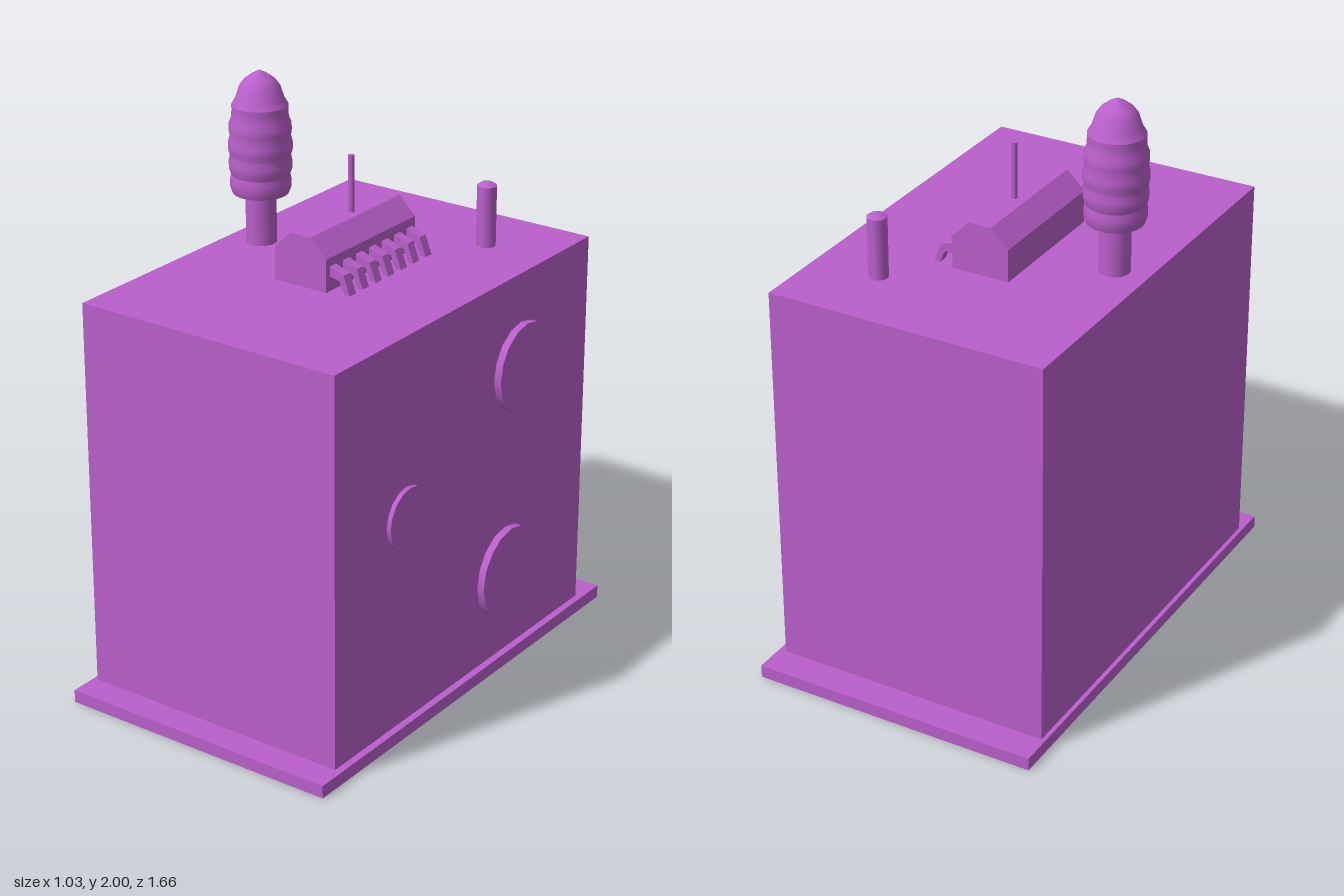
import * as THREE from 'three';
import { toCreasedNormals } from 'three/addons/utils/BufferGeometryUtils.js';

export function createModel() {
  const model = new THREE.Group();
  model.name = 'machineCabinet';
  const material = new THREE.MeshStandardMaterial({ color: 0xb95fca });

  const add = (name, geometry, x = 0, y = 0, z = 0) => {
    const mesh = new THREE.Mesh(geometry, material);
    mesh.name = name;
    mesh.position.set(x, y, z);
    model.add(mesh);
    return mesh;
  };

  // Box given by its minimum and maximum corners
  const box = (name, a, b) => add(name,
    new THREE.BoxGeometry(b[0] - a[0], b[1] - a[1], b[2] - a[2]),
    (a[0] + b[0]) / 2, (a[1] + b[1]) / 2, (a[2] + b[2]) / 2);

  // Upright rod from y0 to y1
  const rod = (name, r, x, y0, y1, z, sides = 24) => add(name,
    new THREE.CylinderGeometry(r, r, y1 - y0, sides), x, (y0 + y1) / 2, z);

  // Profile in x,y extruded along z
  const prism = (points, depth) => new THREE.ExtrudeGeometry(
    new THREE.Shape(points.map(([x, y]) => new THREE.Vector2(x, y))),
    { depth, bevelEnabled: false });

  // Lathed part with crisp rims
  const turned = points => toCreasedNormals(new THREE.LatheGeometry(
    points.map(([r, y]) => new THREE.Vector2(r, y)), 32), 0.5);

  const top = 1.405;

  // Plinth and cabinet
  box('basePlate', [-0.515, 0, -0.83], [0.51, 0.045, 0.83]);
  box('cabinet', [-0.5, 0.045, -0.72], [0.485, top, 0.73]);

  // Round covers on the left side: y, z, radius, thickness
  [[1.077, -0.308, 0.156, 0.026], [0.782, 0.346, 0.108, 0.016], [0.349, -0.24, 0.163, 0.026]]
    .forEach(([y, z, r, t]) => {
      const disc = add('sideCover', new THREE.CylinderGeometry(r, r, t + 0.01, 16),
        0.48 + t / 2, y, z);
      disc.rotation.z = -Math.PI / 2;
    });

  // Beacon: stem and ribbed head with a pointed cap
  rod('beaconStem', 0.052, -0.38, top, 1.585, -0.045);
  const rings = [[1.58, 0.094], [1.645, 0.098], [1.71, 0.101], [1.775, 0.101], [1.84, 0.095], [1.905, 0.081]];
  const head = [[0, 1.58]];
  rings.forEach(([y, r], i) => {
    head.push([r, y]);
    const next = rings[i + 1];
    if (next) {
      const middle = (r + next[1]) / 2 + 0.006;
      head.push([middle, y + 0.022], [middle, next[0] - 0.022]);
    }
  });
  head.push([0.068, 1.945], [0.052, 1.967], [0.025, 1.987], [0, 2]);
  add('beaconHead', turned(head), -0.38, 0, -0.045);

  // Chamfered housing running front to back
  add('roofHousing', prism([
    [-0.13, top], [0.074, top], [0.074, 1.518], [0.013, 1.58], [-0.066, 1.58], [-0.13, 1.518],
  ], 0.497), 0, 0, -0.287);

  // Row of bent outlet pipes along the housing
  for (let i = 0; i < 7; i++) {
    add('outletPipe', prism([
      [0.06, 1.46], [0.113, 1.446], [0.13, top], [0.152, top], [0.127, 1.469], [0.06, 1.494],
    ], 0.034), 0, 0, -0.272 + i * 0.0712);
  }

  // Thin aerial and domed post
  rod('aerial', 0.01, -0.022, 1.57, 1.775, -0.06, 12);
  add('ventPost', turned([[0.033, top], [0.033, 1.615], [0.02, 1.624], [0, 1.628]]), 0.248, 0, -0.452);

  return model;
}
